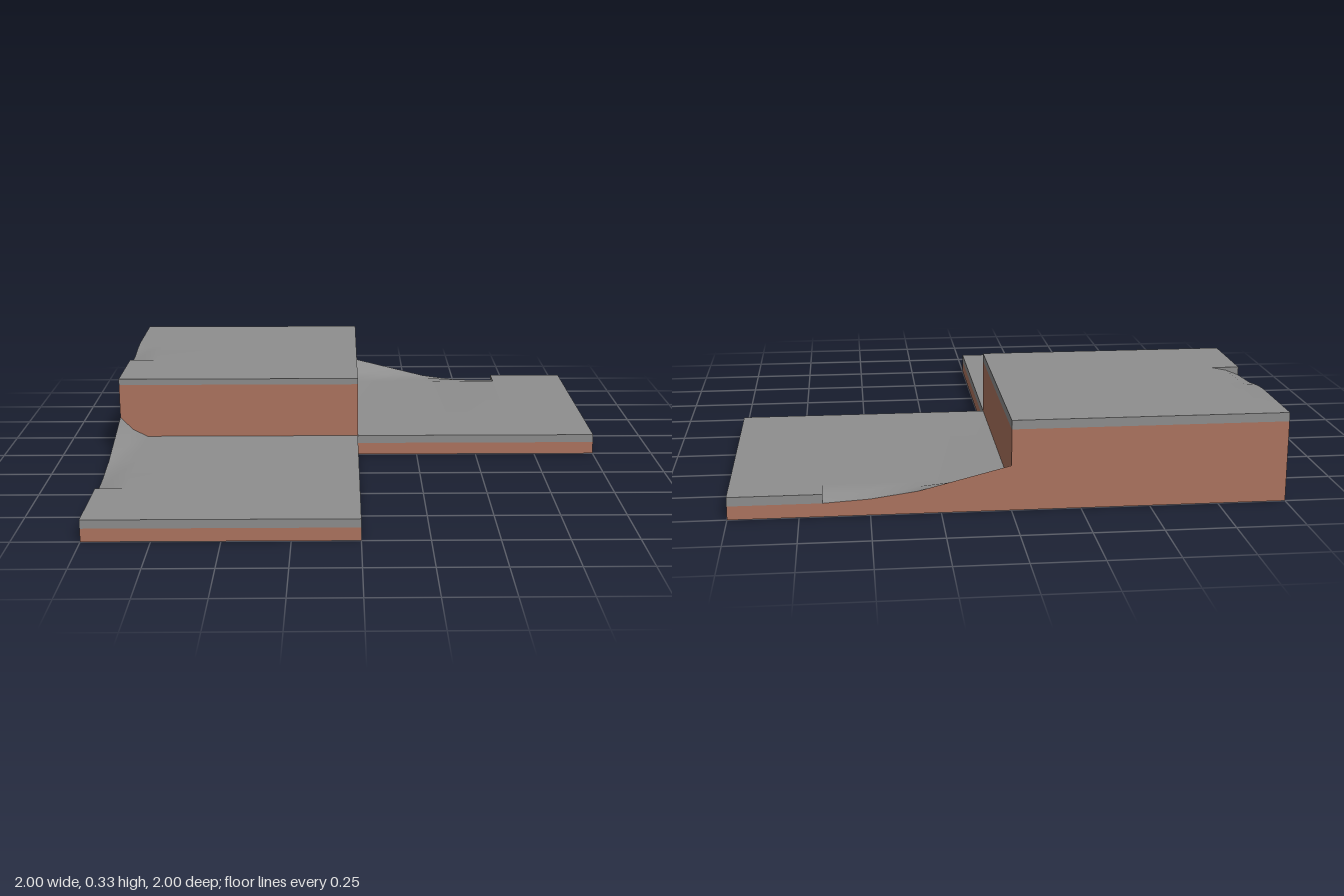
import * as THREE from 'three';

const T = 1 / 3;
const LOW = 0.083, HIGH = 0.333, BAND = 0.033;

// Lofts a sheet through rows of [x, y, z] points, turned to face `out`.
function loft(rows, out) {
  const cols = rows[0].length;
  const index = [];
  for (let r = 0; r < rows.length - 1; r++) {
    for (let c = 0; c < cols - 1; c++) {
      const a = r * cols + c, b = a + cols;
      index.push(a, b, a + 1, b, b + 1, a + 1);
    }
  }
  const g = new THREE.BufferGeometry();
  g.setAttribute('position', new THREE.Float32BufferAttribute(rows.flat(2), 3));
  g.setIndex(index);
  g.computeVertexNormals();
  const n = g.attributes.normal;
  let facing = 0;
  for (let i = 0; i < n.count; i++) facing += n.getX(i) * out[0] + n.getY(i) * out[1] + n.getZ(i) * out[2];
  if (facing < 0) {
    g.setIndex(index.reverse());
    g.computeVertexNormals();
  }
  return g;
}

export function createModel() {
  const model = new THREE.Group();
  const stone = new THREE.MeshStandardMaterial({ color: 0x8e8e8e, side: THREE.DoubleSide });
  stone.name = 'grey paving';
  const earth = new THREE.MeshStandardMaterial({ color: 0xad745f, side: THREE.DoubleSide });
  earth.name = 'red brown earth';

  const add = (name, material, rows, out) => {
    const mesh = new THREE.Mesh(loft(rows, out), material);
    mesh.name = name;
    model.add(mesh);
  };

  // Heights along the bent outer edge of a tile: [distance along edge, height]
  const rampEdge = [[0, 0.167], [T / 2, 0.125], [T, 0.083], [T * 1.5, 0.06], [T * 2, 0.05]];
  const dipEdge = [[0, HIGH], [T, HIGH], [T * 1.25, 0.326], [T * 1.5, 0.312], [T * 2, 0.3]];
  // How the bend fades out across the tile: [distance from edge, share of bend left]
  const fade = [[0, 1], [0.05, 0.38], [0.11, 0], [1, 0]];

  // Paved tile top with a bent edge, a small notch and a flat remainder
  function tileTop(name, edge, flat, place) {
    const up = [0, 1, 0];
    add(name + 'BentTop', stone,
      edge.map(([s, h]) => fade.map(([d, k]) => place(s, flat + (h - flat) * k, d))), up);
    add(name + 'FlatTop', stone,
      [2 * T, 1].map((s) => [0, 1].map((d) => place(s, flat, d))), up);
    const p = place(0, 0, 0), q = place(1, 0, 0);
    add(name + 'Notch', stone, [
      fade.slice(0, 3).map(([d, k]) => place(2 * T, flat - BAND * k, d)),
      fade.slice(0, 3).map(([d]) => place(2 * T, flat, d)),
    ], [p[0] - q[0], 0, p[2] - q[2]]);
  }

  // Upright strip between a lower and an upper line of points
  const wall = (name, material, lower, upper, out) => add(name, material, [lower, upper], out);

  tileTop('upperTile', dipEdge, HIGH, (s, y, d) => [-1 + d, y, -1 + s]);

  // The two lower tiles mirror each other across the diagonal
  for (const side of ['front', 'left']) {
    const at = side === 'front' ? (x, y, z) => [x, y, z] : (x, y, z) => [z, y, x];
    tileTop(side + 'Tile', rampEdge, LOW, (s, y, d) => at(-1 + d, y, s));

    // Long outer wall below the ramp and the upper tile
    const out = at(-1, 0, 0);
    const line = [[-1, 0.3], [0, 0.3]];
    wall(side + 'UpperOuterWall', earth, line.map(([z]) => at(-1, 0, z)), line.map(([z, y]) => at(-1, y, z)), out);
    wall(side + 'RampOuterWall', earth, rampEdge.map(([z]) => at(-1, 0, z)), rampEdge.map(([z, y]) => at(-1, y, z)), out);

    // Paving edge on the upper tile, dipping on one side only
    if (side === 'front') {
      wall('dippedPavingEdge', stone, dipEdge.map(([s]) => at(-1, 0.3, s - 1)), dipEdge.map(([s, y]) => at(-1, y, s - 1)), out);
      wall('upperPavingEnd', stone, [at(-1, 0.3, -T), at(-1, 0.3, 0)], [at(-1, HIGH, -T), at(-1, HIGH, 0)], out);
    } else {
      wall('upperPavingBack', stone, [at(-1, 0.3, -1), at(-1, 0.3, 0)], [at(-1, HIGH, -1), at(-1, HIGH, 0)], out);
    }

    // Low skirts: earth below, paving edge above
    const skirts = [
      [[-1, 2 * T], [-1, 1], [-1, 0]],
      [[-1, 1], [0, 1], [0, 1]],
      [[0, 0], [0, 1], [1, 0]],
    ];
    for (const [a, b, n] of skirts) {
      const run = (y) => [at(a[0], y, a[1]), at(b[0], y, b[1])];
      wall(side + 'Skirt', earth, run(0), run(0.05), at(n[0], 0, n[1]));
      wall(side + 'PavingEdge', stone, run(0.05), run(LOW), at(n[0], 0, n[1]));
    }

    // Step up to the upper tile, following the ramp at its foot
    const split = side === 'front' ? 0.308 : 0.3;
    const foot = fade.map(([d, k]) => at(-1 + d, LOW + (0.167 - LOW) * k, 0));
    const level = (y) => fade.map(([d]) => at(-1 + d, y, 0));
    wall(side + 'StepWall', earth, foot, level(split), at(0, 0, 1));
    wall(side + 'StepPavingEdge', stone, level(split), level(HIGH), at(0, 0, 1));
  }

  return model;
}
